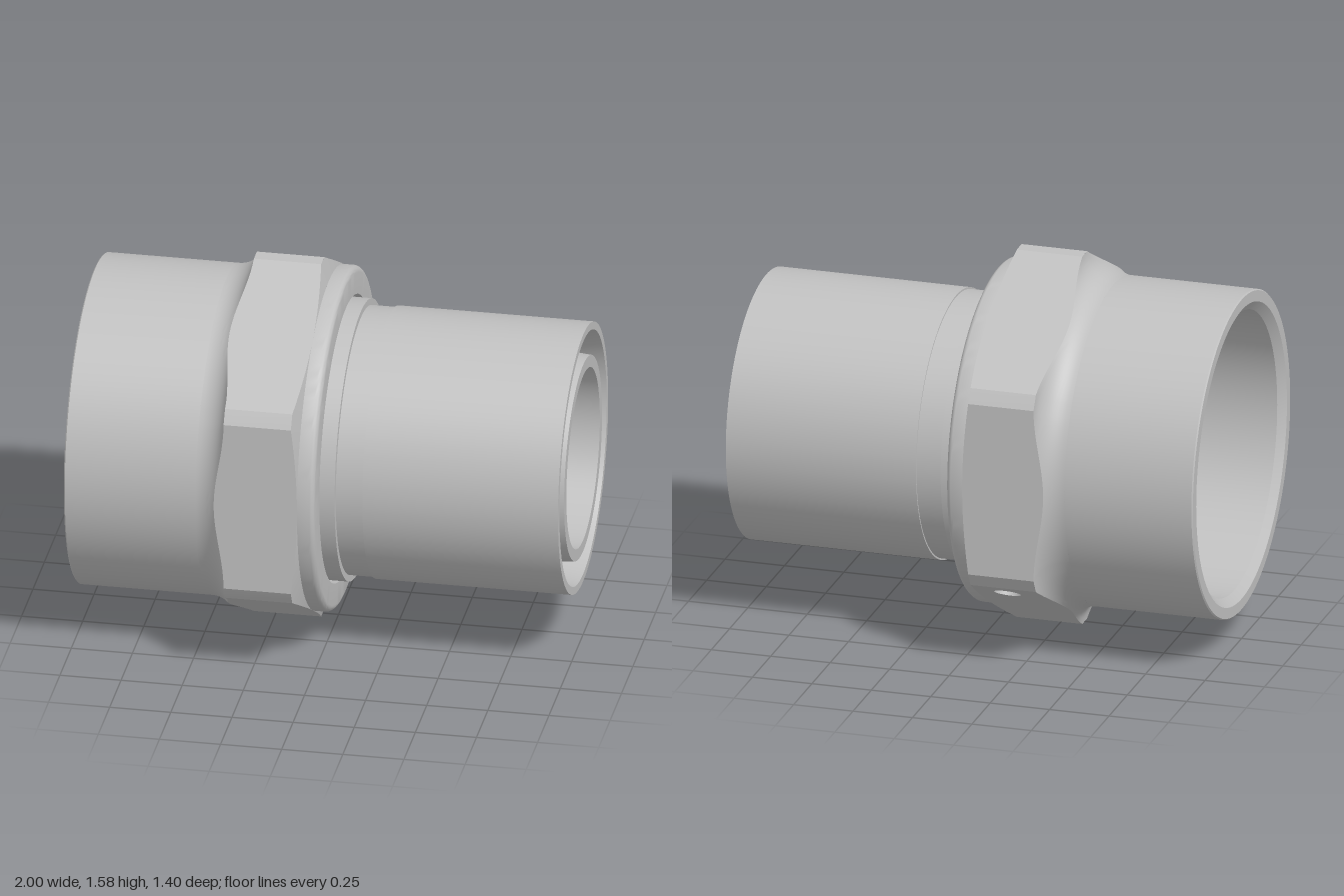
import * as THREE from 'three';
import { toCreasedNormals } from 'three/addons/utils/BufferGeometryUtils.js';

const FLAT = 0.70, CORNER = 0.79, SLEEVE = 0.67;       // radii measured from the x axis
const HALF = Math.sqrt(CORNER ** 2 - FLAT ** 2);       // half width of one wrench flat
const STEPS = 24;

// Where the concave fillet and the end chamfer reach a given radius
const filletX = r => -0.46 + Math.sqrt(Math.max(0, 0.12 ** 2 - (CORNER - r) ** 2));
const chamferX = r => -0.04 - 0.025 * (r - FLAT) / (CORNER - FLAT);

// Surface through a grid of points, fn(angleIndex, v) -> [x, radius, angle]
function grid(nu, nv, fn) {
  const pos = [], index = [];
  for (let u = 0; u <= nu; u++) {
    for (let v = 0; v <= nv; v++) {
      const [x, r, a] = fn(u, v / nv);
      pos.push(x, r * Math.sin(a), r * Math.cos(a));
      if (u < nu && v < nv) {
        const p = u * (nv + 1) + v, q = p + nv + 1;
        index.push(p, p + 1, q + 1, p, q + 1, q);
      }
    }
  }
  const g = new THREE.BufferGeometry();
  g.setAttribute('position', new THREE.Float32BufferAttribute(pos, 3));
  g.setIndex(index);
  return toCreasedNormals(g, 0.5);
}

// Turned part from [x, radius] points
function turned(points) {
  const g = new THREE.LatheGeometry(points.map(([x, r]) => new THREE.Vector2(r, x)), 128);
  g.rotateZ(-Math.PI / 2);
  return toCreasedNormals(g, 0.5);
}

export function createModel() {
  const model = new THREE.Group();
  const fitting = new THREE.Group();
  fitting.name = 'pipeFitting';
  fitting.position.y = CORNER;
  model.add(fitting);

  const steel = new THREE.MeshStandardMaterial({ color: 0xc0c0c0 });
  steel.name = 'steel grey';
  const add = (name, geometry, parent = fitting) => {
    const mesh = new THREE.Mesh(geometry, steel);
    mesh.name = name;
    parent.add(mesh);
    return mesh;
  };

  // Rounded collar, through bore and socket sleeve of the nut
  const collar = [[-0.04, FLAT]];
  for (let i = 0; i <= 6; i++) {
    const a = i / 6 * Math.PI / 2;
    collar.push([0.003 + 0.027 * Math.sin(a), 0.673 + 0.027 * Math.cos(a)]);
  }
  add('socketSleeve', turned([...collar, [0.03, 0.585], [-0.97, 0.585], [-1, 0.62],
    [-1, 0.665], [-0.995, SLEEVE], [-0.46, SLEEVE]]));

  // Outline of the hexagon with rounded-off corners
  const outline = [];
  for (let k = 0; k < 6; k++) {
    for (let i = 0; i <= STEPS; i++) {
      const t = HALF * (2 * i / STEPS - 1);
      outline.push({ a: k * Math.PI / 3 + Math.atan2(t, FLAT), r: Math.hypot(t, FLAT) });
    }
  }
  outline.push({ a: outline[0].a + 2 * Math.PI, r: outline[0].r });
  const n = outline.length - 1;

  // Fillet up from the sleeve and chamfer down to the collar
  add('hexFillet', grid(n, 10, (u, v) => {
    const { a, r } = outline[u];
    const h = SLEEVE + (r - SLEEVE) * v * v;
    return [filletX(h), h, a];
  }));
  add('hexChamfer', grid(n, 1, (u, v) => {
    const { a, r } = outline[u];
    const h = r + (FLAT - r) * v;
    return [chamferX(h), h, a];
  }));

  // Six wrench flats with curved ends, and the corner strips between them
  const edge = Math.atan2(HALF, FLAT), gap = Math.PI / 3 - 2 * edge;
  for (let k = 0; k < 6; k++) {
    const left = [], right = [];
    for (let i = 0; i <= STEPS; i++) {
      const t = HALF * (2 * i / STEPS - 1), r = Math.hypot(t, FLAT);
      right.push(new THREE.Vector2(chamferX(r), t));
      left.unshift(new THREE.Vector2(filletX(r), t));
    }
    const shape = new THREE.Shape([...right, ...left]);
    const side = new THREE.Group();
    side.name = 'hexSide';
    side.rotation.x = k * Math.PI / 3;
    fitting.add(side);

    // Small blind hole near the corner of one flat
    if (k === 2) {
      const hx = -0.19, ht = -0.25, hr = 0.055, depth = 0.1;
      shape.holes.push(new THREE.Path().absarc(hx, ht, hr, 0, Math.PI * 2, true));
      const wall = new THREE.CylinderGeometry(hr, hr, depth, 24, 1, true);
      wall.scale(-1, 1, 1);                            // turns the wall to face inward
      const flip = wall.attributes.normal;
      for (let i = 0; i < flip.count; i++) {
        flip.setXYZ(i, -wall.attributes.position.getX(i) / hr, 0, -wall.attributes.position.getZ(i) / hr);
      }
      wall.rotateX(Math.PI / 2);
      add('holeWall', wall, side).position.set(hx, ht, FLAT - depth / 2);
      add('holeFloor', new THREE.CircleGeometry(hr, 24), side).position.set(hx, ht, FLAT - depth);
    }
    add('wrenchFlat', new THREE.ShapeGeometry(shape, 24), side).position.z = FLAT;
    add('cornerStrip', grid(2, 1, (u, v) => [
      v ? chamferX(CORNER) : filletX(CORNER), CORNER, edge + gap * u / 2]), side);
  }

  // Loose inner pipe with a flange, a stepped spigot and a grooved end
  add('spigotPipe', turned([[-0.45, 0.52], [-0.45, 0.572], [0.09, 0.572], [0.09, 0.545],
    [0.2, 0.545], [0.2, 0.552], [1, 0.552], [1, 0.52], [0.75, 0.48], [0.75, 0.44],
    [1, 0.417], [1, 0.368], [-0.3, 0.368], [-0.45, 0.52]]));

  return model;
}
